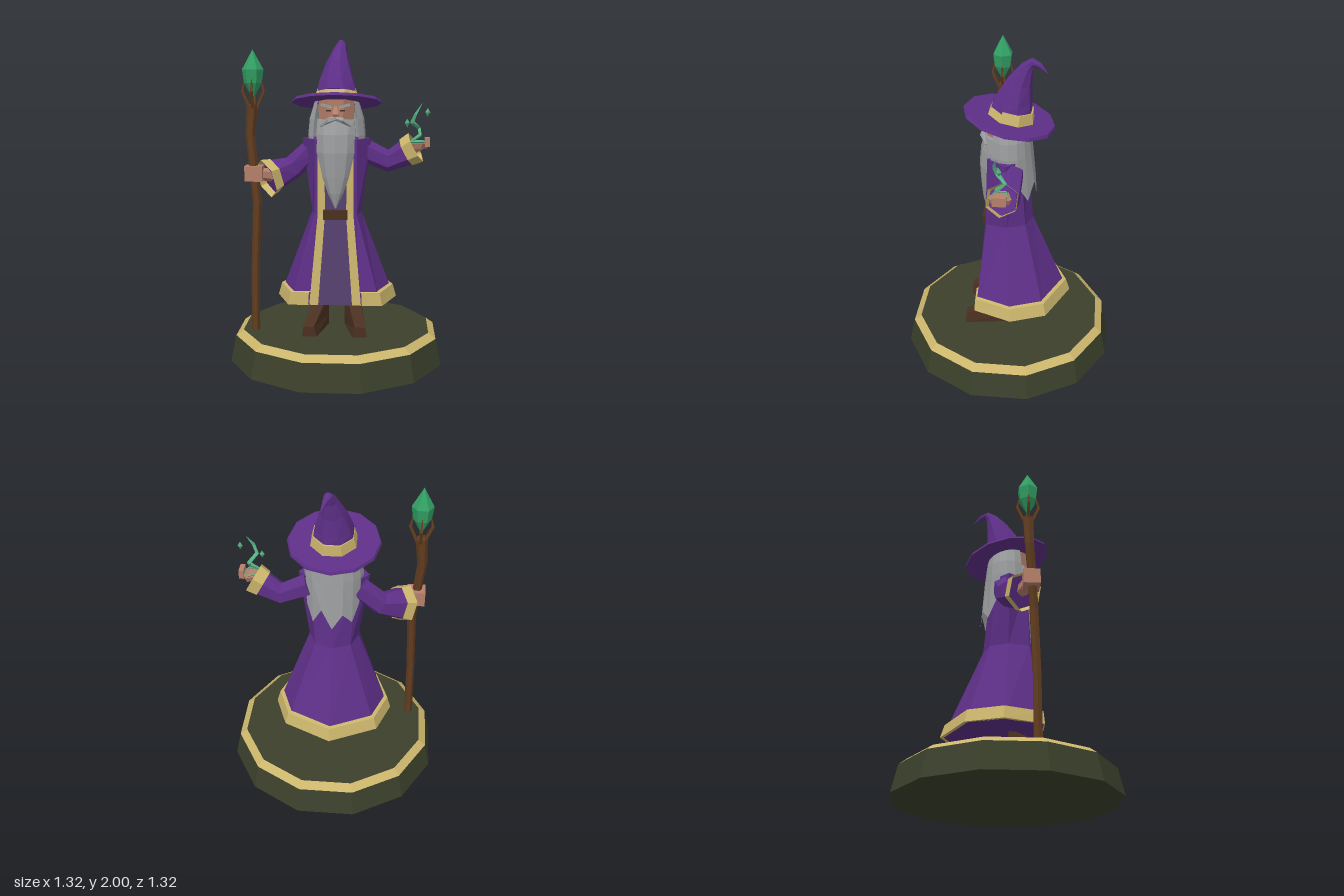
import * as THREE from 'three';

const mat = (name, color) => {
  const m = new THREE.MeshStandardMaterial({ color, flatShading: true, side: THREE.DoubleSide });
  m.name = name;
  return m;
};
const V = (x, y, z) => new THREE.Vector3(x, y, z);

export function createModel() {
  const purple = mat('robe purple', 0x5e2f88), panelMat = mat('inner robe', 0x54406f);
  const gold = mat('gold trim', 0xcbb56c), stone = mat('dark green base', 0x3b402b);
  const grey = mat('hair grey', 0x9b9d9f), skin = mat('skin', 0xb5806a);
  const wood = mat('staff wood', 0x613d20), leather = mat('dark leather', 0x4a3020);
  const green = mat('crystal green', 0x329f64), magic = mat('magic green', 0x55b082);

  const model = new THREE.Group();
  const add = (name, geo, material, x = 0, y = 0, z = 0, parent = model) => {
    const mesh = new THREE.Mesh(geo, material);
    mesh.name = name;
    mesh.position.set(x, y, z);
    parent.add(mesh);
    return mesh;
  };

  // Skin a stack of point rows; rows run upward, points run from front to +x
  const surface = (rows, closed = false, capStart = false, capEnd = false) => {
    const out = [];
    const tri = (...p) => p.forEach(q => out.push(q.x, q.y, q.z));
    const n = rows[0].length, last = rows[rows.length - 1];
    for (let r = 0; r < rows.length - 1; r++) {
      for (let i = 0; i < (closed ? n : n - 1); i++) {
        const j = (i + 1) % n, a = rows[r], b = rows[r + 1];
        tri(a[i], a[j], b[j]);
        tri(a[i], b[j], b[i]);
      }
    }
    const mid = row => row.reduce((s, p) => s.add(p), V(0, 0, 0)).divideScalar(n);
    for (let i = 0; i < n; i++) {
      const j = (i + 1) % n;
      if (capStart) tri(mid(rows[0]), rows[0][j], rows[0][i]);
      if (capEnd) tri(mid(last), last[i], last[j]);
    }
    const g = new THREE.BufferGeometry();
    g.setAttribute('position', new THREE.Float32BufferAttribute(out, 3));
    g.computeVertexNormals();
    return g;
  };

  // Tapered faceted tube along a path of [x, y, z, radius]
  const tube = (path, sides, caps = true) => {
    const c = path.map(p => V(p[0], p[1], p[2])), end = c.length - 1;
    const whole = c[end].clone().sub(c[0]).normalize();
    const ref = Math.abs(whole.y) > 0.75 ? V(1, 0, 0) : V(0, 1, 0);
    const rows = c.map((p, k) => {
      const t = c[Math.min(k + 1, end)].clone().sub(c[Math.max(k - 1, 0)]).normalize();
      const u = ref.clone().cross(t).normalize(), v = t.clone().cross(u);
      return Array.from({ length: sides }, (_, i) => {
        const a = (i + 0.5) / sides * Math.PI * 2;
        return p.clone().addScaledVector(u, path[k][3] * Math.cos(a)).addScaledVector(v, path[k][3] * Math.sin(a));
      });
    });
    return surface(rows, true, caps, caps);
  };

  // Base plinth with bevelled gold rim
  add('base', new THREE.CylinderGeometry(0.647, 0.683, 0.165, 12), stone, 0, 0.0825).rotation.y = Math.PI / 12;
  add('baseRim', new THREE.CylinderGeometry(0.6, 0.647, 0.035, 12, 1, true), gold, 0, 0.1825).rotation.y = Math.PI / 12;
  add('baseTop', new THREE.CylinderGeometry(0.6, 0.6, 0.005, 12), stone, 0, 0.1975).rotation.y = Math.PI / 12;

  // Robe: half outlines [x, z] from centre panel round to the back
  const levels = [
    [0.38, [[0.105, 0.195], [0.16, 0.195], [0.28, 0.19], [0.365, -0.04], [0.285, -0.25], [0, -0.385]]],
    [0.94, [[0.065, 0.14], [0.11, 0.14], [0.13, 0.13], [0.155, 0], [0.11, -0.11], [0, -0.15]]],
    [1.4, [[0.07, 0.12], [0.11, 0.12], [0.13, 0.12], [0.215, 0], [0.14, -0.08], [0, -0.105]]],
  ];
  const ring = ([y, h]) => [
    ...h.map(p => V(p[0], y, p[1])),
    ...h.slice(0, -1).reverse().map(p => V(-p[0], y, p[1])),
  ];
  const robe = levels.map(ring);
  const part = (...ids) => robe.map(r => ids.map(i => r[i]));
  add('robe', surface(part(1, 2, 3, 4, 5, 6, 7, 8, 9)), purple);
  add('leftRobeTrim', surface(part(0, 1)), gold);
  add('rightRobeTrim', surface(part(9, 10)), gold);
  add('innerRobe', surface(part(10, 0)), panelMat);
  add('shoulderTop', surface([robe[2], robe[2]], true, false, true), purple);
  add('robeUnderside', surface([robe[0], robe[0]], true, true), purple);

  // Raised gold hem
  const hemRow = (t, grow, y) => robe[0].slice(1, 10).map((p, i) => {
    const q = p.clone().lerp(robe[1][i + 1], t);
    return V(q.x * grow, y, q.z * grow);
  });
  add('hem', surface([hemRow(0, 0.98, 0.38), hemRow(0, 1.04, 0.38), hemRow(0.12, 1.05, 0.46), hemRow(0.15, 0.99, 0.465)]), gold);
  add('beltBuckle', new THREE.BoxGeometry(0.15, 0.06, 0.03), leather, 0, 0.94, 0.148);

  // Boots: wedge narrowing to an outward toe
  for (const s of [1, -1]) {
    const row = (y, zf, xi, xo) => {
      const p = [V(s * xi, y, zf), V(s * xo, y, zf), V(s * (y > 0.3 ? 0.15 : 0.16), y, 0), V(s * 0.05, y, 0)];
      return s > 0 ? p : p.reverse();
    };
    add(s > 0 ? 'leftBoot' : 'rightBoot',
      surface([row(0.2, 0.27, 0.11, 0.2), row(0.262, 0.268, 0.125, 0.19), row(0.385, 0.03, 0.065, 0.145), row(0.44, 0.02, 0.07, 0.14)], true, true, true), leather);
  }

  // Right arm reaching for the staff
  add('rightSleeve', tube([[-0.15, 1.33, -0.03, 0.07], [-0.28, 1.21, -0.02, 0.075], [-0.41, 1.16, 0.06, 0.108]], 6), purple);
  add('rightCuff', tube([[-0.385, 1.168, 0.045, 0.108], [-0.435, 1.15, 0.08, 0.125]], 6, false), gold);
  add('rightWrist', tube([[-0.4, 1.17, 0.06, 0.04], [-0.5, 1.19, 0.11, 0.04]], 6), skin);
  add('rightHand', new THREE.BoxGeometry(0.11, 0.095, 0.1), skin, -0.502, 1.19, 0.11);

  // Left arm raised, palm up
  add('leftSleeve', tube([[0.15, 1.33, -0.03, 0.075], [0.32, 1.255, -0.03, 0.07], [0.46, 1.325, -0.01, 0.088]], 6), purple);
  add('leftCuff', tube([[0.43, 1.31, -0.015, 0.09], [0.49, 1.343, -0.005, 0.1]], 6, false), gold);
  add('leftWrist', tube([[0.44, 1.32, -0.01, 0.035], [0.52, 1.355, 0, 0.03]], 5), skin);
  add('leftPalm', new THREE.CylinderGeometry(0.07, 0.055, 0.035, 5), skin, 0.505, 1.355, 0).rotation.y = 0.3;
  add('leftFingers', new THREE.BoxGeometry(0.03, 0.055, 0.08), skin, 0.56, 1.378, 0);

  // Magic rising from the palm
  const ringMesh = add('magicRing', new THREE.TorusGeometry(0.05, 0.006, 4, 5), magic, 0.5, 1.38, 0);
  ringMesh.rotation.x = Math.PI / 2;
  add('magicWisp', tube([[0.46, 1.385, 0.03, 0.008], [0.515, 1.42, 0.02, 0.014], [0.51, 1.46, -0.03, 0.014],
    [0.465, 1.5, 0.02, 0.015], [0.485, 1.55, 0.035, 0.011], [0.525, 1.615, 0.02, 0.001]], 4), magic);
  for (const [x, y, z] of [[0.435, 1.495, 0.02], [0.56, 1.56, 0]]) {
    add('magicSpark', new THREE.OctahedronGeometry(0.022), magic, x, y, z).scale.set(0.7, 1.2, 0.7);
  }

  // Staff with prongs clasping a crystal
  add('staff', tube([[-0.505, 0.2, 0.135, 0.027], [-0.5, 0.6, 0.135, 0.026], [-0.485, 1, 0.125, 0.028],
    [-0.505, 1.22, 0.115, 0.028], [-0.525, 1.42, 0.1, 0.03], [-0.51, 1.61, 0.095, 0.036]], 6), wood);
  for (let i = 0; i < 4; i++) {
    const a = i * Math.PI / 2, at = (r, y, w) => [-0.505 + r * Math.cos(a), y, 0.095 + r * Math.sin(a), w];
    add('staffProng', tube([at(0.018, 1.58, 0.013), at(0.066, 1.69, 0.011), at(0.05, 1.76, 0.004)], 4), wood);
  }
  add('crystal', new THREE.LatheGeometry([[0, 1.64], [0.055, 1.74], [0.066, 1.82], [0, 1.94]]
    .map(p => new THREE.Vector2(...p)), 6), green, -0.505, 0, 0.095).rotation.y = Math.PI / 6;

  // Head and face
  const head = add('head', new THREE.CylinderGeometry(0.108, 0.1, 0.24, 8), skin, 0, 1.52, 0.02);
  head.rotation.y = Math.PI / 8;
  head.scale.set(1.1, 1, 1.15);
  add('nose', tube([[0, 1.595, 0.125, 0.012], [0, 1.55, 0.15, 0.026], [0, 1.53, 0.145, 0.012]], 4), skin);
  for (const s of [1, -1]) {
    add('eye', new THREE.BoxGeometry(0.03, 0.01, 0.006), leather, s * 0.042, 1.575, 0.136);
    add('eyebrow', new THREE.BoxGeometry(0.07, 0.016, 0.025), grey, s * 0.055, 1.603, 0.135).rotation.z = s * 0.25;
    add('moustache', tube([[0, 1.53, 0.15, 0.014], [s * 0.04, 1.518, 0.155, 0.018], [s * 0.095, 1.48, 0.13, 0.005]], 5), grey);
  }

  // Beard: elliptical rings [y, half width, centre z, half depth], tip first
  const beard = [[0.98, 0.005, 0.138, 0.006], [1.07, 0.05, 0.12, 0.045], [1.17, 0.092, 0.1, 0.075],
    [1.32, 0.122, 0.095, 0.088], [1.43, 0.125, 0.09, 0.082], [1.52, 0.118, 0.08, 0.062]].map(([y, w, cz, d]) =>
    Array.from({ length: 10 }, (_, i) => V(w * Math.sin(i * Math.PI / 5), y, cz + d * Math.cos(i * Math.PI / 5))));
  add('beard', surface(beard, true, true, true), grey);

  // Long hair wrapped round the back with a ragged lower edge
  const ends = [1.4, 1.36, 1.34, 1.22, 1.12, 1.23, 1.1, 1.2, 1.13, 1.24, 1.34, 1.36, 1.4];
  const hairRow = (w, d, cz, yAt) => ends.map((e, i) => {
    const a = Math.PI + (i - 6) / 6 * 2.25, z = cz + d * Math.cos(a);
    return V(-w * Math.sin(Math.PI - a) * -1, yAt(e, z), z);
  }).reverse();
  add('hair', surface([hairRow(0.175, 0.165, -0.005, e => e), hairRow(0.18, 0.145, 0, () => 1.42),
    hairRow(0.17, 0.135, 0, () => 1.52), hairRow(0.14, 0.125, 0, (e, z) => 1.62 + 0.2 * z)]), grey);

  // Hat: tilted brim and band, crown bending to a drooping tip
  const hat = new THREE.Group();
  hat.name = 'hat';
  hat.position.set(0, 1.62, 0);
  hat.rotation.x = -0.21;
  model.add(hat);
  add('hatBrim', new THREE.CylinderGeometry(0.272, 0.28, 0.018, 12), purple, 0, 0.005, 0, hat);
  add('hatBand', new THREE.CylinderGeometry(0.128, 0.146, 0.065, 8), gold, 0, 0.045, -0.008, hat).rotation.y = Math.PI / 8;
  add('hatCrown', tube([[0, 1.68, -0.015, 0.128], [0, 1.74, -0.028, 0.113], [0.005, 1.85, -0.06, 0.076],
    [0.015, 1.94, -0.1, 0.042], [0.022, 1.978, -0.135, 0.026], [0.035, 1.965, -0.175, 0.016], [0.055, 1.925, -0.225, 0.001]], 8), purple);

  return model;
}
